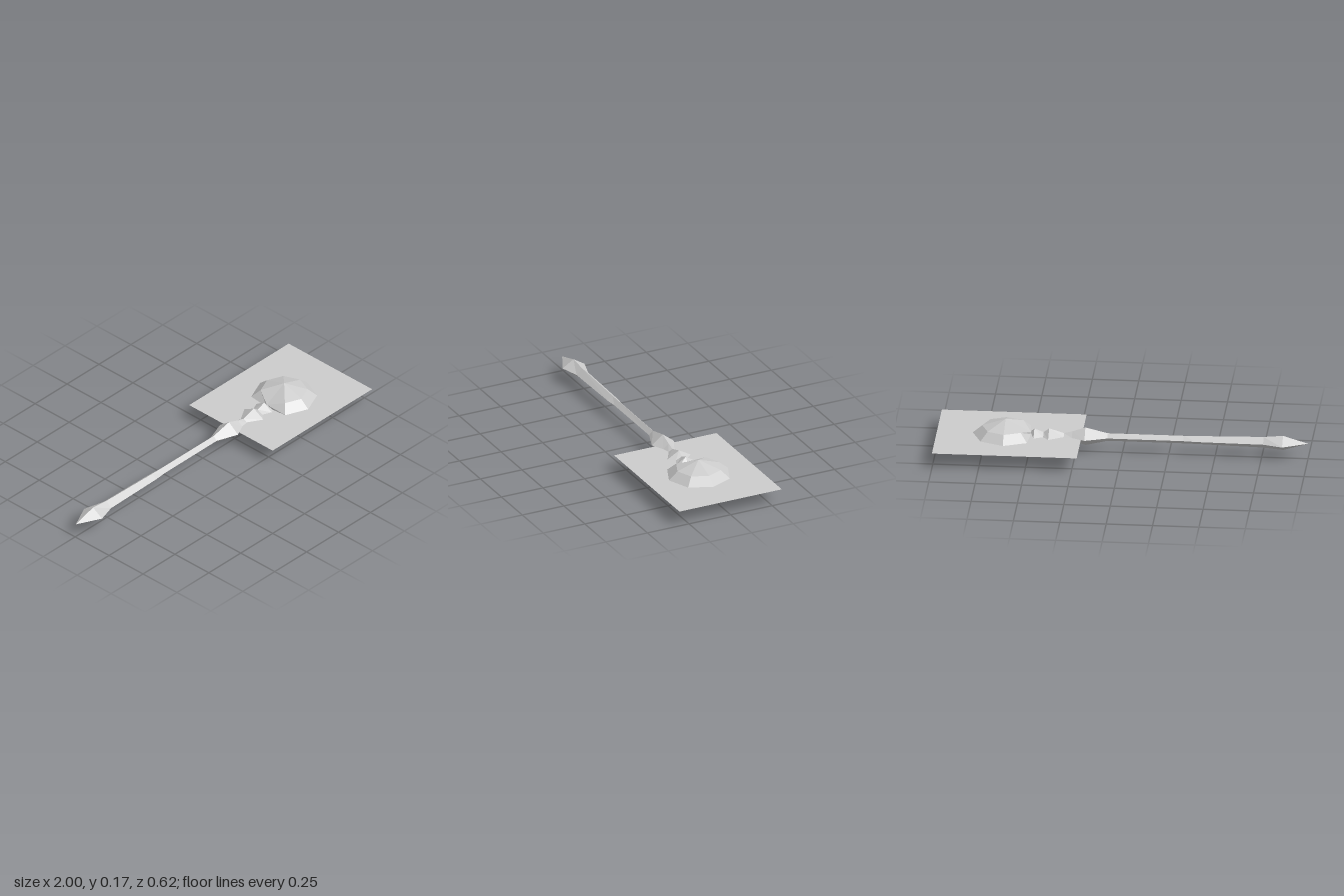
import * as THREE from 'three';

const AXIS_Y = 0.087, AXIS_Z = 0.005;

// Handle outline: x, half height, half width of each diamond section
const SECTIONS = [
  [-1, 0, 0], [-0.865, 0.041, 0.066], [-0.76, 0.031, 0.035], [-0.4, 0.023, 0.029],
  [-0.33, 0.022, 0.023], [0.08, 0.022, 0.022], [0.2, 0.051, 0.066], [0.27, 0.026, 0.032],
  [0.315, 0.014, 0.022], [0.395, 0.039, 0.07], [0.425, 0.016, 0.034],
  [0.475, 0.036, 0.057], [0.495, 0.012, 0.048],
];

function flat(geometry) {
  const g = geometry.index ? geometry.toNonIndexed() : geometry;
  g.computeVertexNormals();
  return g;
}

// Diamond sections joined into a faceted bar along x
function barGeometry(sections) {
  const positions = [], indices = [];
  sections.forEach(([x, h, w], i) => {
    positions.push(x, h, 0, x, 0, w, x, -h, 0, x, 0, -w);
    if (i === 0) return;
    for (let k = 0; k < 4; k++) {
      const a = (i - 1) * 4 + k, b = (i - 1) * 4 + (k + 1) % 4;
      indices.push(a, b, b + 4, a, b + 4, a + 4);
    }
  });
  const g = new THREE.BufferGeometry();
  g.setAttribute('position', new THREE.Float32BufferAttribute(positions, 3));
  g.setIndex(indices);
  return flat(g);
}

// Eight-sided gem with the side facing the handle pinched into the neck
function headGeometry() {
  const profile = [[0, -0.085], [0.126, -0.043], [0.177, 0], [0.126, 0.043], [0, 0.085]]
    .map(([r, y]) => new THREE.Vector2(r, y));
  const g = new THREE.LatheGeometry(profile, 8);
  const p = g.attributes.position;
  for (let i = 0; i < p.count; i++) {
    if (Math.abs(p.getZ(i)) < 0.001 && p.getX(i) < -0.1) {
      p.setX(i, -0.137);
      p.setY(i, Math.sign(Math.round(p.getY(i) * 1000)) * 0.014);
    }
  }
  return flat(g);
}

export function createModel() {
  const grey = new THREE.MeshStandardMaterial({ color: 0xcccccc, side: THREE.DoubleSide, flatShading: true });
  grey.name = 'light grey';
  const model = new THREE.Group();
  model.name = 'mace';

  const add = (name, geometry, x, y, z) => {
    const mesh = new THREE.Mesh(geometry, grey);
    mesh.name = name;
    mesh.position.set(x, y, z);
    model.add(mesh);
  };

  add('handle', barGeometry(SECTIONS), 0, AXIS_Y, AXIS_Z);
  add('head', headGeometry(), 0.63, AXIS_Y, AXIS_Z + 0.002);
  // Flat sheet through the middle of the head
  add('plate', new THREE.PlaneGeometry(0.78, 0.615).rotateX(-Math.PI / 2), 0.61, AXIS_Y, 0);
  return model;
}
